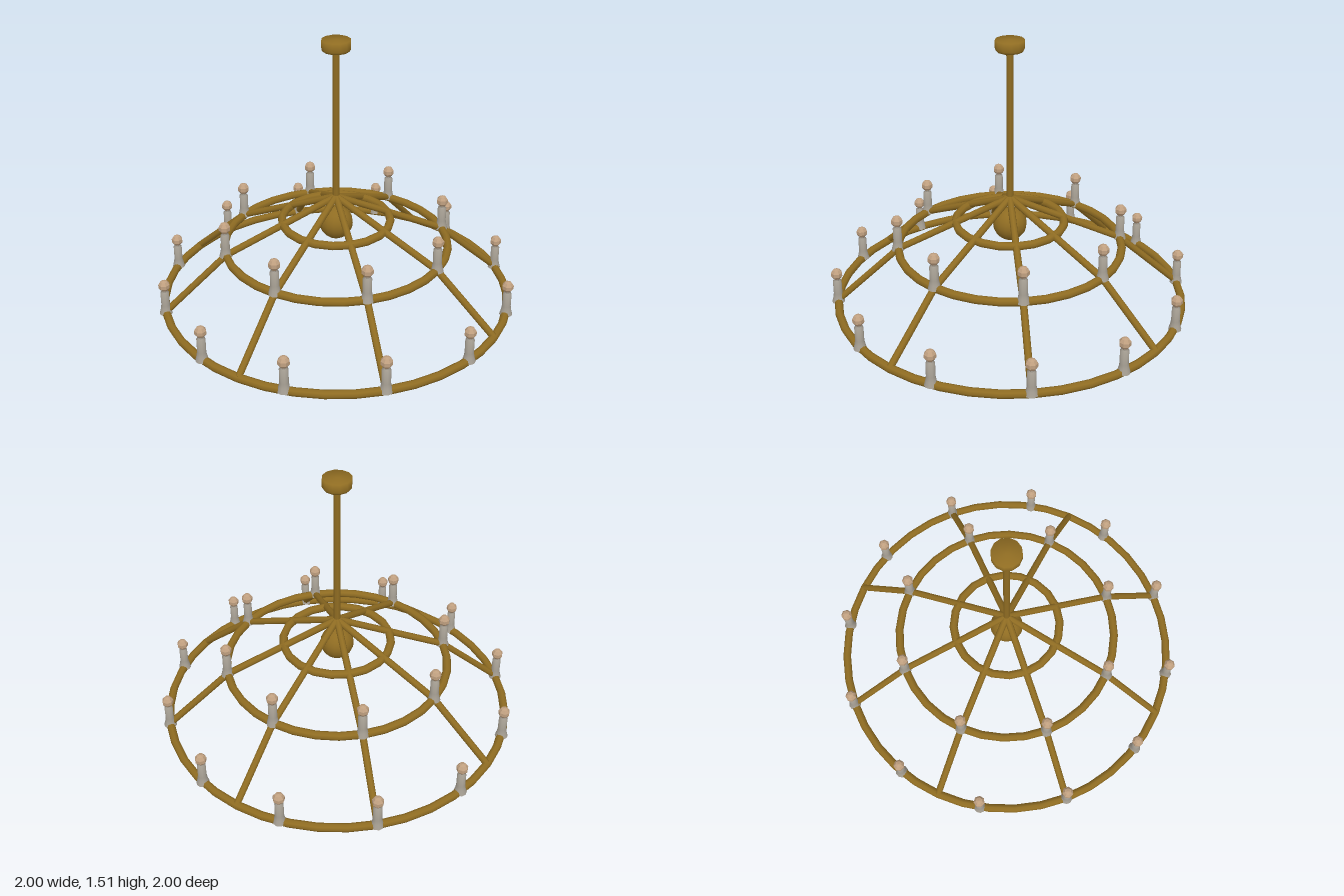
import * as THREE from 'three';

export function createModel() {
  const model = new THREE.Group();
  model.name = 'chandelier';
  const brass = new THREE.MeshStandardMaterial({ color: 0x8f6c22 });
  const wax = new THREE.MeshStandardMaterial({ color: 0xa8a195 });
  const glow = new THREE.MeshStandardMaterial({ color: 0xc0a080, flatShading: true });

  const add = (parent, name, geometry, material) => {
    const mesh = new THREE.Mesh(geometry, material);
    mesh.name = name;
    parent.add(mesh);
    return mesh;
  };
  const profile = (pts) => pts.map(([r, y]) => new THREE.Vector2(r, y));

  // Three stacked rings: radius, height, segments, number of candles
  const rings = [
    { name: 'outerRing', r: 0.965, y: 0.024, segments: 40, candles: 12 },
    { name: 'middleRing', r: 0.62, y: 0.333, segments: 32, candles: 8 },
    { name: 'innerRing', r: 0.3, y: 0.475, segments: 20, candles: 0 },
  ];
  for (const { name, r, y, segments } of rings) {
    const ring = add(model, name, new THREE.TorusGeometry(r, 0.023, 8, segments), brass);
    ring.rotation.x = Math.PI / 2;
    ring.position.y = y;
  }

  // Straight bar between two points
  const up = new THREE.Vector3(0, 1, 0);
  const bar = (parent, name, a, b, radius) => {
    const dir = b.clone().sub(a);
    const mesh = add(parent, name, new THREE.CylinderGeometry(radius, radius, dir.length(), 8), brass);
    mesh.position.copy(a).add(b).multiplyScalar(0.5);
    mesh.quaternion.setFromUnitVectors(up, dir.normalize());
  };

  // Eight bent spokes running from the apex over the rings
  const apex = new THREE.Vector3(0, 0.615, 0);
  const knee = new THREE.Vector3(0.62, 0.335, 0);
  const foot = new THREE.Vector3(0.965, 0.03, 0);
  for (let i = 0; i < 8; i++) {
    const spoke = new THREE.Group();
    spoke.name = 'spoke';
    spoke.rotation.y = (i * Math.PI) / 4;
    bar(spoke, 'upperSpoke', apex, knee, 0.019);
    bar(spoke, 'lowerSpoke', knee, foot, 0.019);
    model.add(spoke);
  }

  // Hanging rod, ceiling mount and central ball
  bar(model, 'rod', new THREE.Vector3(0, 0.58, 0), new THREE.Vector3(0, 1.46, 0), 0.019);
  const mountProfile = profile([[0, 1.438], [0.035, 1.44], [0.07, 1.452], [0.078, 1.465], [0.078, 1.512], [0, 1.515]]);
  add(model, 'ceilingMount', new THREE.LatheGeometry(mountProfile, 12), brass);
  add(model, 'centreBall', new THREE.SphereGeometry(0.093, 16, 12), brass).position.y = 0.458;

  // Candles with flared feet and a small faceted bulb
  const candleProfile = profile([[0.036, 0], [0.028, 0.03], [0.024, 0.055], [0.024, 0.132], [0, 0.134]]);
  const candleGeometry = new THREE.LatheGeometry(candleProfile, 10);
  const wickGeometry = new THREE.CylinderGeometry(0.009, 0.009, 0.03, 6);
  const bulbGeometry = new THREE.SphereGeometry(0.033, 7, 5);
  for (const { r, y, candles } of rings) {
    for (let i = 0; i < candles; i++) {
      const a = (i / candles) * Math.PI * 2;
      const candle = new THREE.Group();
      candle.name = 'candle';
      candle.position.set(Math.cos(a) * r, y, Math.sin(a) * r);
      add(candle, 'candleStick', candleGeometry, wax).position.y = -0.003;
      add(candle, 'wick', wickGeometry, wax).position.y = 0.14;
      add(candle, 'bulb', bulbGeometry, glow).position.y = 0.171;
      model.add(candle);
    }
  }
  return model;
}
